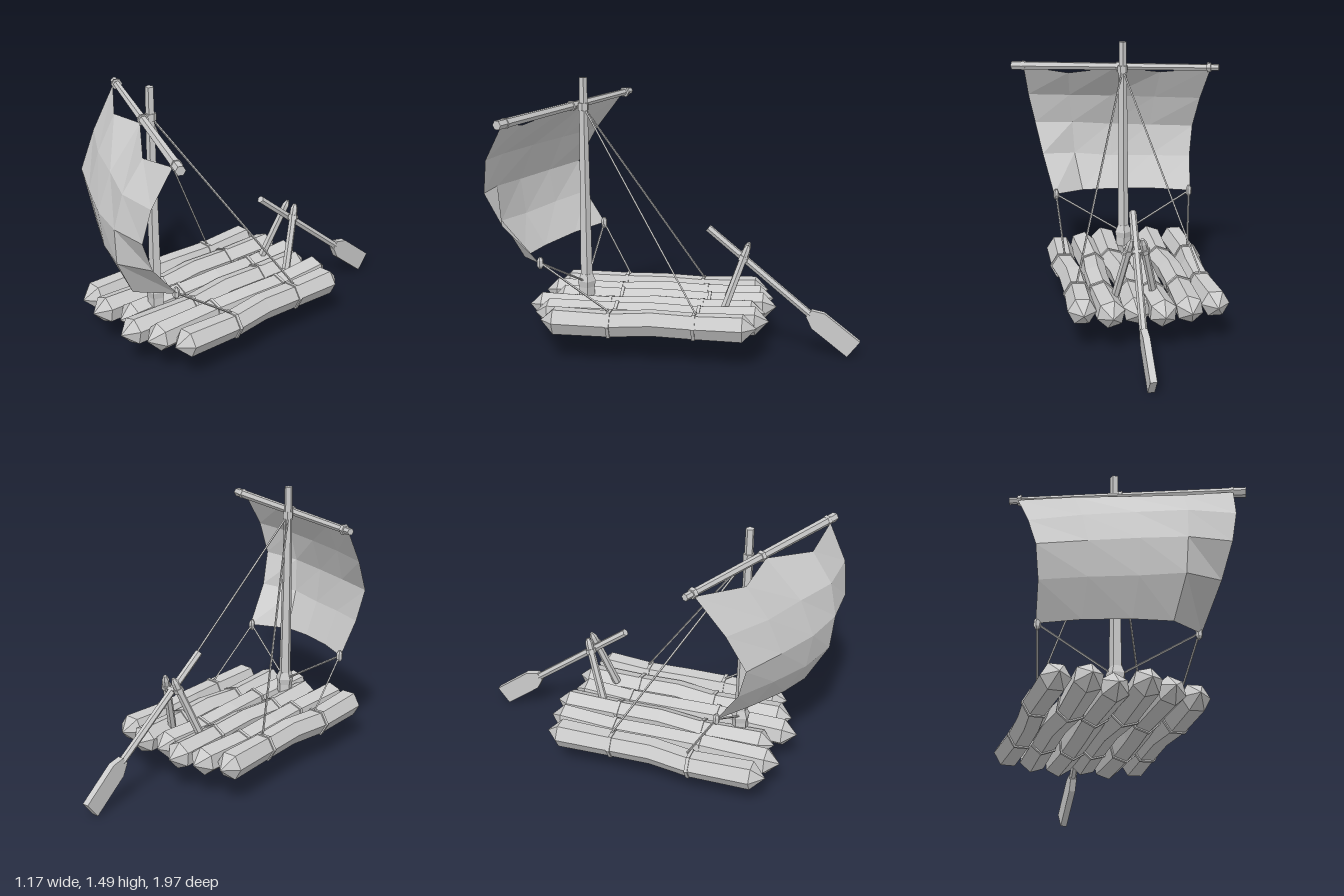
import * as THREE from 'three';

const mat = new THREE.MeshStandardMaterial({ color: 0xcccccc, flatShading: true });
const sheetMat = new THREE.MeshStandardMaterial({ color: 0xcccccc, flatShading: true, side: THREE.DoubleSide });
const V = (p) => new THREE.Vector3(...p);

// Faceted solid through round sections: points with matching radii, closed at both ends
function sweep(points, radii, sides, roll = 0) {
  const pts = points.map(V);
  const d = pts[pts.length - 1].clone().sub(pts[0]).normalize();
  const ref = Math.abs(d.y) > 0.9 ? V([0, 0, 1]) : V([0, 1, 0]);
  const u = ref.cross(d).normalize();
  const v = d.clone().cross(u);
  const ring = (c, r) => Array.from({ length: sides }, (_, i) => {
    const a = roll + (i / sides) * Math.PI * 2;
    return c.clone().addScaledVector(u, r * Math.cos(a)).addScaledVector(v, r * Math.sin(a));
  });
  const rings = pts.map((p, i) => ring(p, radii[i]));
  rings.unshift(ring(pts[0], 0));
  rings.push(ring(pts[pts.length - 1], 0));
  const rad = [0, ...radii, 0];
  const pos = [];
  const tri = (...t) => t.forEach((p) => pos.push(p.x, p.y, p.z));
  for (let k = 0; k < rings.length - 1; k++) {
    for (let i = 0; i < sides; i++) {
      const j = (i + 1) % sides, a = rings[k], b = rings[k + 1];
      if (rad[k] > 0) tri(a[i], a[j], b[j]);
      if (rad[k + 1] > 0) tri(a[i], b[j], b[i]);
    }
  }
  const g = new THREE.BufferGeometry();
  g.setAttribute('position', new THREE.Float32BufferAttribute(pos, 3));
  g.computeVertexNormals();
  return g;
}

export function createModel() {
  const root = new THREE.Group();
  const add = (name, geo, m = mat, parent = root) => {
    const mesh = new THREE.Mesh(geo, m);
    mesh.name = name;
    parent.add(mesh);
    return mesh;
  };
  const rod = (name, a, b, r0, r1 = r0, sides = 6, roll = 0, parent = root) =>
    add(name, sweep([a, b], [r0, r1], sides, roll), mat, parent);

  // Logs: x, y, back tip, rear joint, front joint, front tip, roll, sideways bend
  const logs = [
    [-0.39, 0.235, -0.45, -0.07, 0.385, 0.80, 0, 0.012],
    [-0.24, 0.23, -0.49, -0.105, 0.39, 0.84, 0.35, -0.01],
    [-0.092, 0.228, -0.515, -0.14, 0.36, 0.77, 0.6, 0.008],
    [0.042, 0.23, -0.46, -0.11, 0.40, 0.865, 0.3, -0.012],
    [0.183, 0.23, -0.49, -0.11, 0.345, 0.80, 0.75, 0.01],
    [0.33, 0.235, -0.435, -0.10, 0.355, 0.735, 0.05, -0.01],
  ];
  const deck = new THREE.Group();
  deck.name = 'logDeck';
  root.add(deck);
  for (const [x, y, z0, z1, z2, z3, roll, bend] of logs) {
    const zm = (z1 + z2) / 2;
    add('log', sweep(
      [[x, y, z0], [x, y, z0 + 0.075], [x + bend, y - 0.003, z1], [x + bend, y + 0.006, zm],
        [x - bend, y - 0.003, z2], [x, y, z3 - 0.075], [x, y, z3]],
      [0, 0.078, 0.073, 0.074, 0.073, 0.078, 0], 6, roll), mat, deck);
    for (const [z, s] of [[z1, 1], [z2, -1]]) {
      rod('logJoint', [x + s * bend, y - 0.003, z - 0.009], [x + s * bend, y - 0.003, z + 0.009], 0.081, 0.081, 6, roll, deck);
    }
  }

  // Mast with flared foot
  const mx = -0.045, mz = 0.56;
  add('mast', sweep([[mx, 0.28, mz], [mx, 1.505, mz]], [0.036, 0.023], 5, -Math.PI / 2));
  add('mastFoot', sweep([[mx, 0.27, mz], [mx, 0.32, mz], [mx, 0.355, mz], [mx, 0.395, mz]],
    [0.046, 0.046, 0.053, 0.036], 5, -Math.PI / 2));
  add('mastLashing', sweep([[mx, 1.325, mz], [mx, 1.365, mz]], [0.03, 0.03], 6));

  // Yard and its lashings
  const yA = V([-0.578, 1.368, 0.395]), yB = V([0.572, 1.33, 0.868]);
  const onYard = (t) => yA.clone().lerp(yB, t).toArray();
  rod('yard', onYard(0), onYard(1), 0.019, 0.026);
  for (const t of [0.045, 0.475, 0.94]) rod('yardLashing', onYard(t - 0.009), onYard(t + 0.009), 0.027, 0.031);

  // Billowing sail, five rows from top to bottom
  const rows = [
    [[-0.54, 1.36, 0.43], [-0.28, 1.31, 0.615], [-0.02, 1.34, 0.645], [0.24, 1.28, 0.83], [0.505, 1.325, 0.86]],
    [[-0.515, 1.15, 0.587], [-0.268, 1.135, 0.735], [-0.02, 1.13, 0.84], [0.22, 1.12, 0.945], [0.47, 1.13, 0.965]],
    [[-0.495, 0.957, 0.692], [-0.257, 0.945, 0.812], [-0.025, 0.935, 0.92], [0.2, 0.94, 0.987], [0.43, 0.947, 0.992]],
    [[-0.47, 0.78, 0.65], [-0.25, 0.76, 0.78], [-0.025, 0.74, 0.895], [0.19, 0.745, 0.973], [0.395, 0.765, 0.91]],
    [[-0.452, 0.597, 0.533], [-0.25, 0.58, 0.67], [-0.03, 0.555, 0.79], [0.157, 0.535, 0.86], [0.35, 0.555, 0.725]],
  ];
  const sail = new THREE.BufferGeometry();
  sail.setAttribute('position', new THREE.Float32BufferAttribute(rows.flat(2), 3));
  const idx = [];
  for (let r = 0; r < 4; r++) {
    for (let c = 0; c < 4; c++) {
      const a = r * 5 + c;
      idx.push(a, a + 5, a + 6, a, a + 6, a + 1);
    }
  }
  sail.setIndex(idx);
  sail.computeVertexNormals();
  add('sail', sail, sheetMat);

  // Corner knots, sheets to the deck and foot, and back stays
  const corners = [[[-0.443, 0.595, 0.535], [-0.4, 0.3, 0.37]], [[0.337, 0.555, 0.725], [0.335, 0.3, 0.36]]];
  for (const [k, end] of corners) {
    const at = (dy) => [k[0], k[1] + dy, k[2]];
    add('cornerKnot', sweep([at(-0.032), at(-0.016), at(0.016), at(0.032)], [0.008, 0.018, 0.018, 0.008], 6));
    rod('sheetRope', k, end, 0.006, 0.006, 4);
    rod('footRope', k, [mx, 0.345, mz], 0.006, 0.006, 4);
  }
  for (const end of [[-0.375, 0.3, -0.075], [0.325, 0.3, -0.11]]) {
    rod('backStay', [mx, 1.345, mz], end, 0.006, 0.006, 4);
  }

  // Steering oar: shaft and flat blade
  const oarTop = [0.02, 0.7, -0.14], oarEnd = [0.065, 0.24, -0.71];
  rod('oarShaft', oarTop, oarEnd, 0.021, 0.021, 6);
  const blade = new THREE.Shape();
  [[0, -0.024], [0.065, -0.056], [0.315, -0.056], [0.315, 0.056], [0.065, 0.056], [0, 0.024]]
    .forEach(([a, b], i) => (i ? blade.lineTo(a, b) : blade.moveTo(a, b)));
  const bladeGeo = new THREE.ExtrudeGeometry(blade, { depth: 0.036, bevelEnabled: false });
  bladeGeo.translate(0, 0, -0.018);
  const along = V([0, -0.62, -0.79]).normalize(), side = V([1, 0, 0]);
  bladeGeo.applyMatrix4(new THREE.Matrix4().makeBasis(along, side.clone().cross(along), side));
  bladeGeo.translate(0.065, 0.25, -0.7);
  add('oarBlade', bladeGeo);

  // Two leaning posts that hold the oar, lashed together
  const posts = [[[-0.078, 0.27, -0.24], [0.008, 0.62, -0.365]], [[0.132, 0.27, -0.24], [0.066, 0.62, -0.365]]];
  for (const [a, b] of posts) {
    const at = (t) => V(a).lerp(V(b), t).toArray();
    add('oarPost', sweep([a, at(0.93), b], [0.023, 0.021, 0.01], 6));
    rod('postLashing', at(0.76), at(0.83), 0.028, 0.028, 6);
  }
  rod('postCrossTie', [-0.025, 0.545, -0.345], [0.1, 0.545, -0.345], 0.014, 0.014, 5);

  return root;
}
